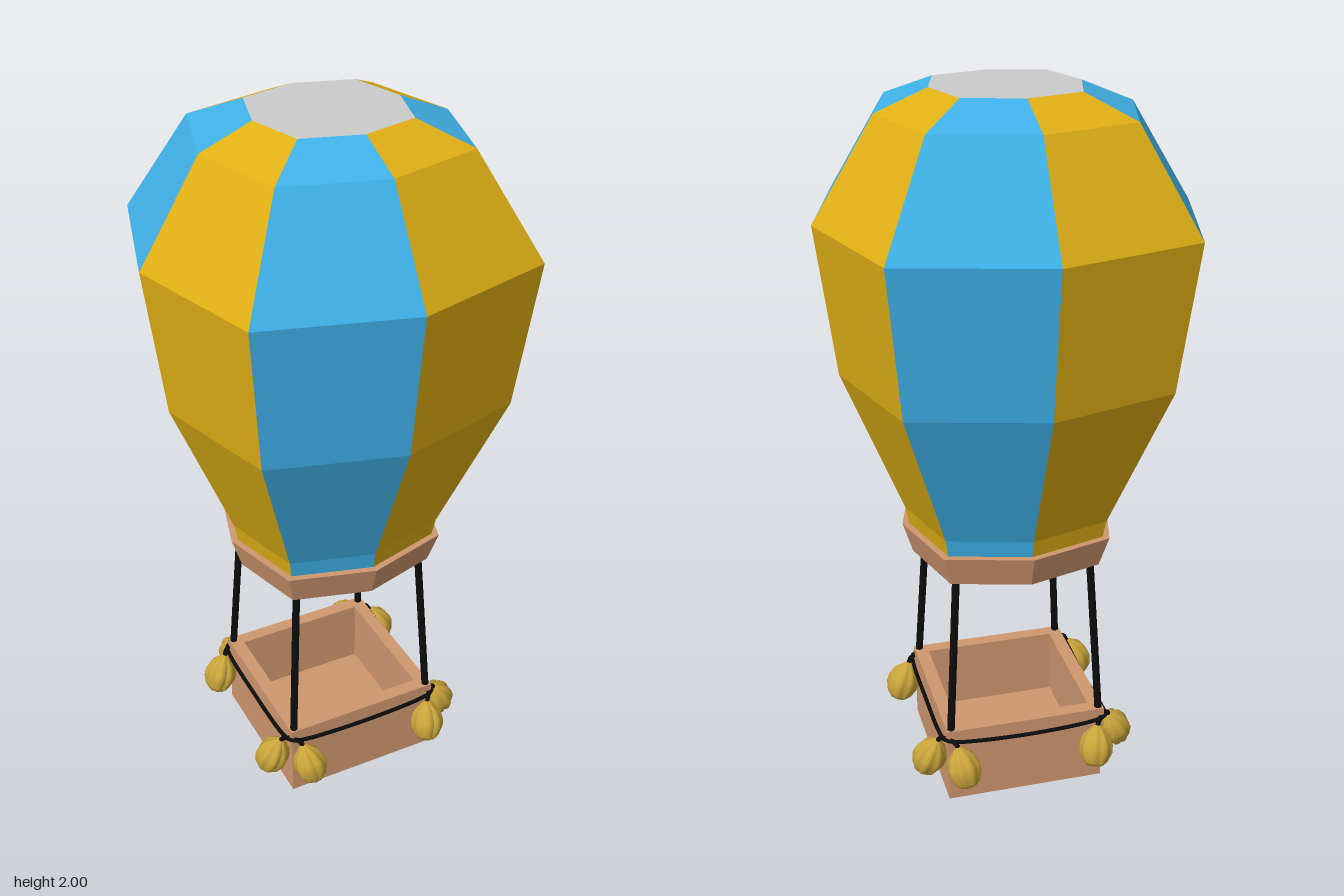
import * as THREE from 'three';

const mat = (color, extra = {}) => new THREE.MeshStandardMaterial({ color, ...extra });
const V = (x, y, z) => new THREE.Vector3(x, y, z);

// Point on an eight-sided ring whose diagonal corners reach slightly further out
function corner(k, [r, y]) {
  const a = k * Math.PI / 4, s = r * (k % 2 ? 1.1 : 1);
  return [s * Math.sin(a), y, s * Math.cos(a)];
}

// Flat panels through a profile of [radius, height], for the chosen gores
function loft(profile, gores) {
  const pos = [];
  for (const k of gores) {
    for (let i = 0; i < profile.length - 1; i++) {
      const a = corner(k, profile[i]), b = corner(k + 1, profile[i]);
      const c = corner(k + 1, profile[i + 1]), d = corner(k, profile[i + 1]);
      if (profile[i][0] > 0) pos.push(...a, ...b, ...c);
      else pos.push(...a, ...c, ...d);
      if (profile[i][0] > 0 && profile[i + 1][0] > 0) pos.push(...a, ...c, ...d);
    }
  }
  const g = new THREE.BufferGeometry();
  g.setAttribute('position', new THREE.Float32BufferAttribute(pos, 3));
  g.computeVertexNormals();
  return g;
}

// Square frame lying flat, from height y0 to y1
function frame(outer, inner, y0, y1) {
  const square = (P, r) => new P([[-r, -r], [r, -r], [r, r], [-r, r]].map(p => new THREE.Vector2(...p)));
  const s = square(THREE.Shape, outer);
  s.holes.push(square(THREE.Path, inner));
  const g = new THREE.ExtrudeGeometry(s, { depth: y1 - y0, bevelEnabled: false });
  return g.rotateX(-Math.PI / 2).translate(0, y0, 0);
}

// Ribbed sack hanging down from its tied neck at the origin
function sackGeometry() {
  const outline = [[0, -0.108], [0.024, -0.112], [0.036, -0.1], [0.047, -0.072], [0.047, -0.05],
    [0.037, -0.022], [0.02, -0.006], [0.01, 0.004], [0, 0.006]];
  const g = new THREE.LatheGeometry(outline.map(p => new THREE.Vector2(...p)), 32);
  const p = g.attributes.position;
  for (let i = 0; i < p.count; i++) {
    const a = Math.atan2(p.getX(i), p.getZ(i));
    const s = 0.88 + 0.16 * Math.abs(Math.sin(4 * a));
    p.setXYZ(i, p.getX(i) * s, p.getY(i), p.getZ(i) * s);
  }
  g.computeVertexNormals();
  return g;
}

export function createModel() {
  const model = new THREE.Group();
  const yellow = mat(0xe0b015, { flatShading: true });
  const blue = mat(0x3fb1e8, { flatShading: true });
  const wood = mat(0xcf976f, { flatShading: true });
  const grey = mat(0xcccccc, { flatShading: true });
  const black = mat(0x0c0c0c);
  const gold = mat(0xc9a43a);
  const all = [0, 1, 2, 3, 4, 5, 6, 7];
  const add = (name, geometry, material, parent = model) => {
    const m = new THREE.Mesh(geometry, material);
    m.name = name;
    parent.add(m);
    return m;
  };

  // Envelope of alternating gores, with a plain crown
  const envelope = [[0.278, 0.78], [0.29, 0.845], [0.457, 1.262], [0.508, 1.67], [0.34, 1.942], [0.2, 2]];
  add('yellowGores', loft(envelope, [0, 2, 4, 6]), yellow);
  add('blueGores', loft(envelope, [1, 3, 5, 7]), blue);
  add('crown', loft([[0.2, 2], [0, 2]], all), grey);

  // Collar, its underside and the burner mouth
  add('collar', loft([[0.272, 0.705], [0.3, 0.795], [0.27, 0.795]], all), wood);
  add('collarUnderside', loft([[0, 0.705], [0.272, 0.705]], all), grey);
  add('burnerMouth', loft([[0, 0.66], [0.145, 0.66], [0.19, 0.706]], all), black);

  // Basket: walls, rim and floor
  const basket = new THREE.Group();
  basket.name = 'basket';
  model.add(basket);
  add('walls', frame(0.23, 0.2, 0, 0.18), wood, basket);
  add('rim', frame(0.234, 0.195, 0.172, 0.235), wood, basket);
  add('floor', new THREE.BoxGeometry(0.42, 0.03, 0.42).translate(0, 0.0155, 0), wood, basket);

  // Cord slung around the basket, sagging along each side
  const path = [];
  for (let side = 0; side < 4; side++) {
    for (const t of [-0.23, -0.19, 0, 0.19, 0.23]) {
      const p = V(t, 0.195 + 0.25 * t * t, Math.abs(t) > 0.2 ? 0.24 : 0.246);
      path.push(p.applyAxisAngle(V(0, 1, 0), side * Math.PI / 2));
    }
  }
  const loop = new THREE.CatmullRomCurve3(path, true);
  add('sideCord', new THREE.TubeGeometry(loop, 96, 0.006, 6, true), black);

  // Suspension ropes and two sacks at every corner
  const sack = sackGeometry();
  for (const sx of [-1, 1]) {
    for (const sz of [-1, 1]) {
      const rope = new THREE.LineCurve3(V(0.222 * sx, 0.2, 0.222 * sz), V(0.192 * sx, 0.71, 0.192 * sz));
      add('suspensionRope', new THREE.TubeGeometry(rope, 1, 0.011, 8), black);
      for (const swap of [false, true]) {
        const place = (a, y, b) => swap ? V(b * sx, y, a * sz) : V(a * sx, y, b * sz);
        const top = place(0.207, 0.192, 0.258);
        const dir = place(0.187, 0.085, 0.3).sub(top).normalize();
        const m = add('sack', sack, gold);
        m.position.copy(top);
        m.quaternion.setFromUnitVectors(V(0, -1, 0), dir);
        const tie = new THREE.CatmullRomCurve3([place(0.225, 0.208, 0.236), place(0.215, 0.207, 0.25), top]);
        add('sackTie', new THREE.TubeGeometry(tie, 6, 0.007, 6), black);
      }
    }
  }
  return model;
}
